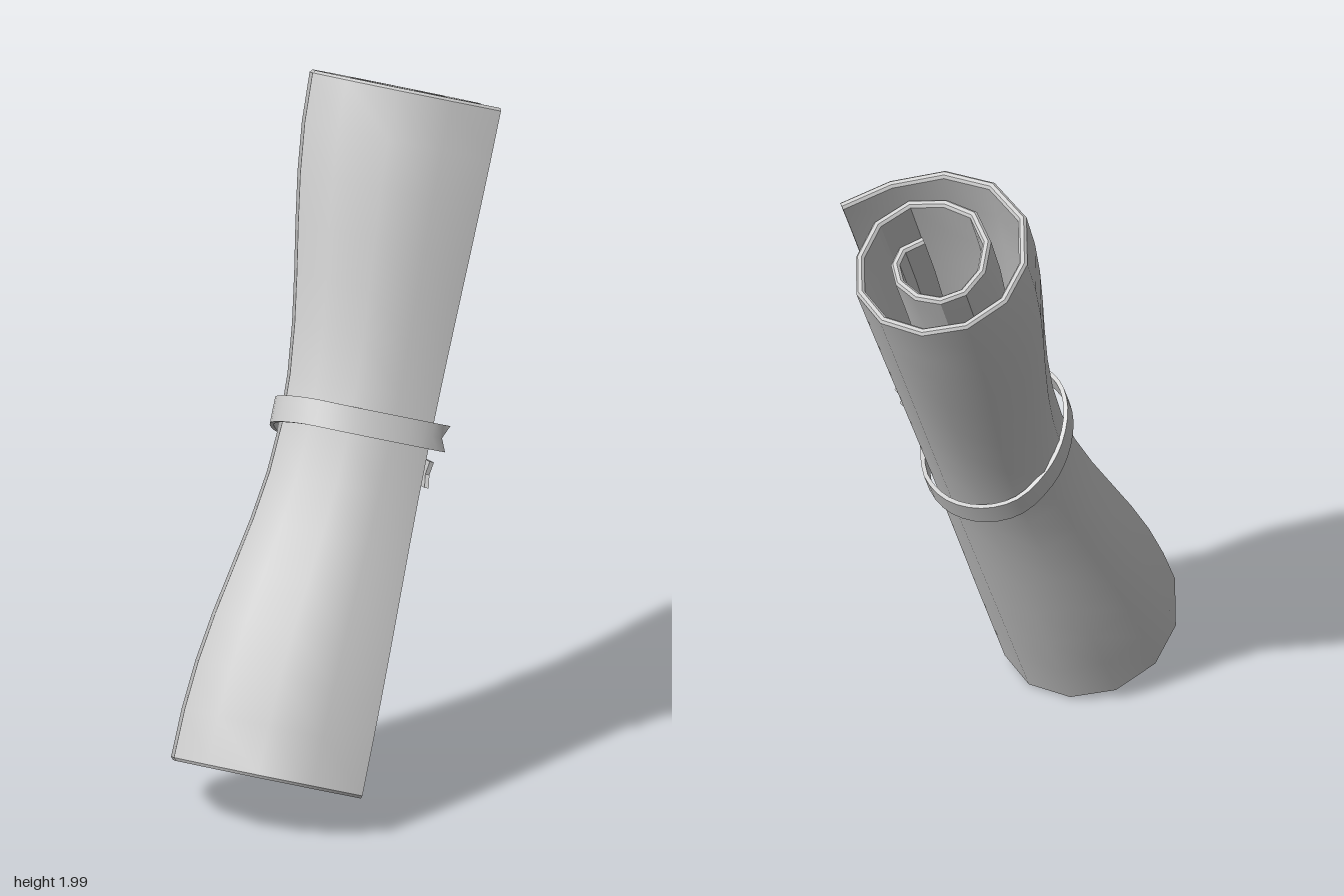
import * as THREE from 'three';
import { toCreasedNormals } from 'three/addons/utils/BufferGeometryUtils.js';

const material = new THREE.MeshStandardMaterial({ color: 0xcccccc });

// Sweeps a thin strip along a path [x, z, lift]. rows = [inset, v] across the outer face;
// the inner face mirrors them. place() turns (x, z, v, i, lift) into a position.
function strip(path, rows, thickness, place) {
  const n = path.length;
  const profile = [...rows, ...rows.slice().reverse().map(([o, v]) => [1 - o, v])];
  const m = profile.length;
  const direction = (a, b) => new THREE.Vector2(b[0] - a[0], b[1] - a[1]).normalize();
  const positions = [];
  path.forEach((p, i) => {
    // Mitred normal pointing out of the roll
    const before = direction(path[Math.max(i - 1, 0)], path[Math.max(i, 1)]);
    const after = direction(path[Math.min(i, n - 2)], path[Math.min(i + 1, n - 1)]);
    const t = before.clone().add(after).normalize();
    const d = thickness / Math.max(t.dot(after), 0.6);
    for (const [o, v] of profile) {
      positions.push(...place(p[0] - t.y * d * o, p[1] + t.x * d * o, v, i, p[2]));
    }
  });
  const index = [];
  const quad = (a, b, c, d) => index.push(a, b, c, a, c, d);
  for (let i = 0; i < n - 1; i++) {
    for (let j = 0; j < m; j++) {
      const k = (j + 1) % m;
      quad(i * m + j, i * m + k, (i + 1) * m + k, (i + 1) * m + j);
    }
  }
  // End faces
  const last = (n - 1) * m;
  for (let j = 0; j < rows.length - 1; j++) {
    quad(last + j, last + j + 1, last + m - 2 - j, last + m - 1 - j);
    quad(m - 1 - j, m - 2 - j, j + 1, j);
  }
  const geometry = new THREE.BufferGeometry();
  geometry.setAttribute('position', new THREE.Float32BufferAttribute(positions, 3));
  geometry.setIndex(index);
  return toCreasedNormals(geometry, 0.58);
}

function addMesh(parent, name, geometry) {
  const mesh = new THREE.Mesh(geometry, material);
  mesh.name = name;
  parent.add(mesh);
}

export function createModel() {
  const group = new THREE.Group();
  group.name = 'rolledScroll';

  // The roll leans back from its foot
  const roll = new THREE.Group();
  roll.name = 'leaningRoll';
  roll.position.y = 1.005;
  roll.rotation.x = -0.42;
  group.add(roll);

  // Spiral of the sheet, from the loose outer edge to the inner end
  const spiral = [
    [0.298, 0.035], [0.2, 0.15], [0.07, 0.237], [-0.08, 0.255], [-0.22, 0.19],
    [-0.297, 0.057], [-0.303, -0.073], [-0.24, -0.19], [-0.13, -0.258], [0, -0.265],
    [0.11, -0.208], [0.17, -0.103], [0.177, 0.016], [0.12, 0.114], [0.02, 0.156],
    [-0.08, 0.153], [-0.165, 0.083], [-0.198, -0.01], [-0.183, -0.095], [-0.13, -0.148],
    [-0.055, -0.163], [0.02, -0.14], [0.065, -0.088], [0.07, -0.03], [0.027, 0.024],
  ];
  const half = 0.975, bevel = 0.008;
  const sheetRows = [[0.28, -half]];
  for (let j = 0; j <= 14; j++) sheetRows.push([0, (half - bevel) * (j / 7 - 1)]);
  sheetRows.push([0.28, half]);

  // The waist is drawn in where the band is tied
  const pinch = (x, z, v) => {
    const wave = 0.5 + 0.5 * Math.cos((Math.PI * v) / half);
    const k = v < 0 ? wave ** 1.3 : wave;
    return [x * (1 - 0.225 * k) + 0.03 * k, v, z * (1 - 0.24 * k) - 0.04 * k];
  };
  addMesh(roll, 'rolledSheet', strip(spiral, sheetRows, 0.024, pinch));

  // Band winding once round the waist, slipping downward towards the back
  const bandPoints = [
    [0.3, -0.04, 0.047], [0.26, 0.03, 0.047], [0.17, 0.115, 0.047], [0.07, 0.168, 0.047],
    [-0.03, 0.185, 0.047], [-0.12, 0.163, 0.04], [-0.18, 0.1, 0.03], [-0.213, 0, 0.012],
    [-0.212, -0.095, 0], [-0.168, -0.195, -0.02], [-0.08, -0.252, -0.033], [0.03, -0.262, -0.04],
    [0.13, -0.215, -0.045], [0.205, -0.11, -0.053], [0.285, -0.015, -0.06],
  ].map((p) => new THREE.Vector3(...p));
  const bandPath = new THREE.CatmullRomCurve3(bandPoints).getPoints(42).map((p) => [p.x, p.y, p.z]);
  const end = bandPath.length - 1;

  // Both ends of the band have a small notch
  const placeBand = (x, z, v, i, lift) => {
    const notch = v === 0 && (i === 0 || i === end) ? 0.012 : 0;
    return [x - notch, v + lift, z + (i === 0 ? notch : -notch)];
  };
  addMesh(roll, 'tieBand', strip(bandPath, [[0, -0.037], [0, 0], [0, 0.037]], 0.012, placeBand));

  return group;
}
